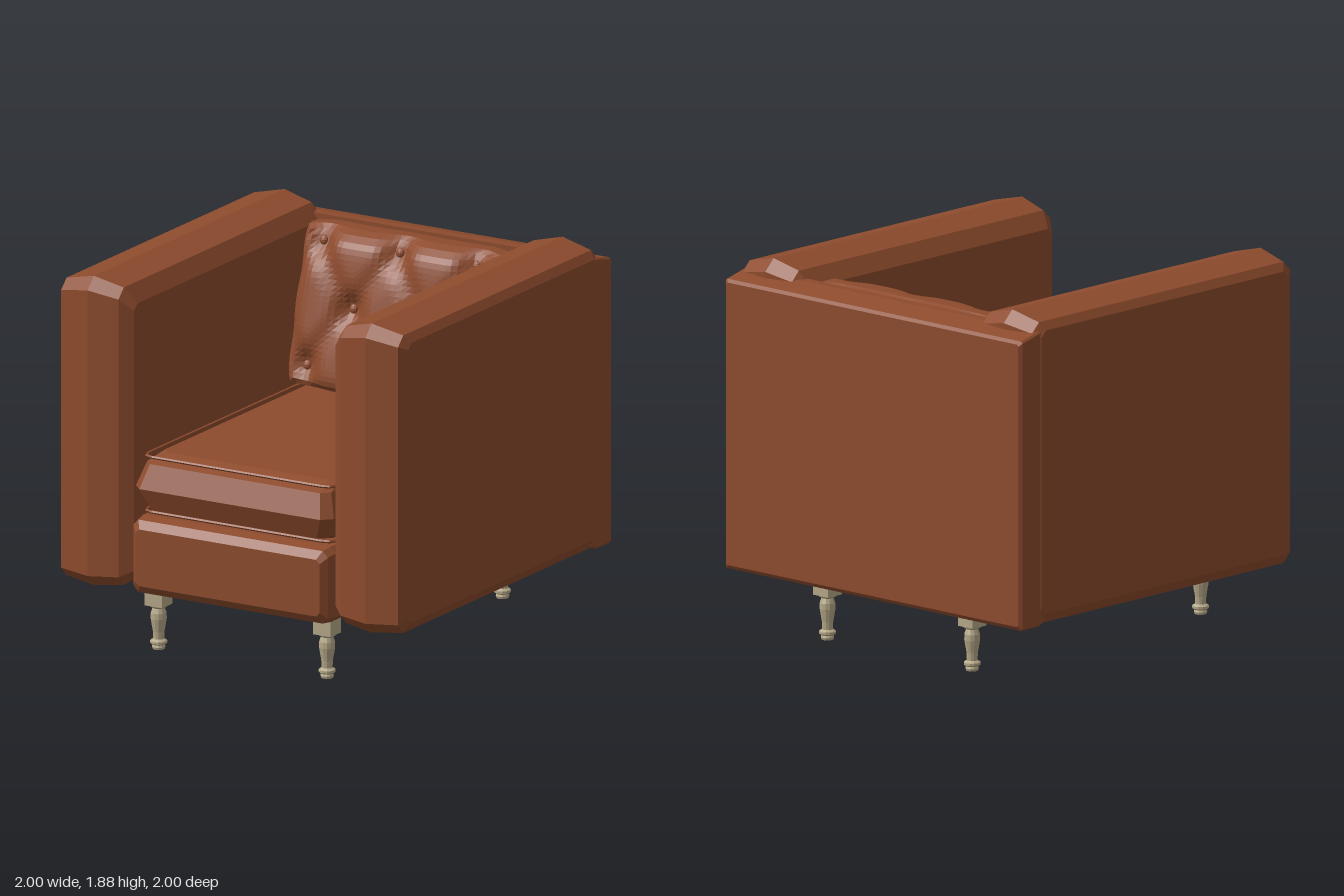
import * as THREE from 'three';
import { ConvexGeometry } from 'three/addons/geometries/ConvexGeometry.js';

const leather = new THREE.MeshStandardMaterial({ color: 0x8d4b2d, flatShading: true });
leather.name = 'leather';
const wood = new THREE.MeshStandardMaterial({ color: 0xb5a888, flatShading: true });
wood.name = 'paleWood';

function add(group, name, geometry, material = leather) {
  const mesh = new THREE.Mesh(geometry, material);
  mesh.name = name;
  group.add(mesh);
  return mesh;
}

// Padded block: rectangles with cut corners, stacked along one axis.
// Section: [position, u0, u1, v0, v1, corner]; place(position, u, v) gives the point.
function padded(sections, place) {
  const points = [];
  for (const [p, u0, u1, v0, v1, c] of sections) {
    for (const [u, du] of [[u0, c], [u1, -c]]) {
      for (const [v, dv] of [[v0, c], [v1, -c]]) {
        points.push(place(p, u + du, v), place(p, u, v + dv));
      }
    }
  }
  return new ConvexGeometry(points);
}
const alongX = (x, z, y) => new THREE.Vector3(x, y, z);
const alongY = (y, x, z) => new THREE.Vector3(x, y, z);
const alongZ = (z, x, y) => new THREE.Vector3(x, y, z);

// Button positions on the back cushion
const buttons = [];
for (const y of [1.13, 1.73]) for (const x of [-0.44, 0, 0.44]) buttons.push([x, y]);
buttons.push([-0.22, 1.43], [0.22, 1.43]);

// Depth of the tufted front of the back cushion
function tuftedFront(x, y) {
  let z = -0.405 - (y - 1.13) * 0.26;
  for (const [bx, by] of buttons) {
    const d = (x - bx) ** 2 + (y - by) ** 2;
    z -= 0.045 * Math.exp(-d / 0.006);
  }
  // shallow diagonal folds between the buttons
  const a = Math.cos(Math.PI * (x / 0.44 + (y - 1.13) / 0.6));
  const b = Math.cos(Math.PI * (x / 0.44 - (y - 1.13) / 0.6));
  return z - 0.018 * (a ** 8 + b ** 8);
}

function backCushionGeometry() {
  const geometry = new THREE.BoxGeometry(2, 2, 1, 36, 28, 4);
  const pos = geometry.attributes.position;
  for (let i = 0; i < pos.count; i++) {
    const u = pos.getX(i), v = pos.getY(i), t = pos.getZ(i) + 0.5;
    // rounded outline, narrower at front and back
    const shrink = 1 - 0.05 * (2 * t - 1) ** 4;
    const x = u * 0.57 * shrink * (1 - 0.03 * v ** 8);
    const y = 1.405 + v * 0.395 * shrink * (1 - 0.03 * u ** 8);
    // the front rolls back near the border
    const roll = 0.05 * Math.max(u ** 14, v ** 14);
    pos.setXYZ(i, x, y, THREE.MathUtils.lerp(-0.8, tuftedFront(x, y) - roll, t));
  }
  geometry.computeVertexNormals();
  return geometry;
}

// Thin seam cord around the seat cushion
function pipingGeometry(y) {
  const w = 0.545, front = 0.9, back = -0.6, r = 0.06;
  const path = new THREE.CurvePath();
  const corners = [[w, front], [-w, front], [-w, back], [w, back]]
    .map(([x, z]) => new THREE.Vector3(x, y, z));
  for (let i = 0; i < 4; i++) {
    const a = corners[i], b = corners[(i + 1) % 4], c = corners[(i + 2) % 4];
    const ab = b.clone().sub(a).normalize(), bc = c.clone().sub(b).normalize();
    const bendStart = b.clone().addScaledVector(ab, -r);
    const bendEnd = b.clone().addScaledVector(bc, r);
    path.add(new THREE.LineCurve3(a.clone().addScaledVector(ab, r), bendStart));
    path.add(new THREE.QuadraticBezierCurve3(bendStart, b, bendEnd));
  }
  return new THREE.TubeGeometry(path, 120, 0.008, 5, true);
}

function createLeg() {
  const leg = new THREE.Group();
  add(leg, 'legBlock', new THREE.BoxGeometry(0.1, 0.08, 0.1), wood).position.y = 0.265;
  const profile = [
    [0, 0], [0.03, 0], [0.034, 0.012], [0.03, 0.022], [0.042, 0.03], [0.042, 0.042],
    [0.027, 0.052], [0.029, 0.09], [0.04, 0.155], [0.039, 0.185], [0.03, 0.21],
    [0.043, 0.218], [0.047, 0.228], [0, 0.228],
  ].map(([r, y]) => new THREE.Vector2(r, y));
  add(leg, 'turnedLeg', new THREE.LatheGeometry(profile, 12), wood);
  return leg;
}

export function createModel() {
  const model = new THREE.Group();
  model.name = 'armchair';

  // Arms, crowned across their width
  for (const [name, s] of [['leftArm', 1], ['rightArm', -1]]) {
    add(model, name, padded([
      [s * 0.58, -0.85, 0.92, 0.37, 1.76, 0.03],
      [s * 0.64, -0.89, 0.97, 0.32, 1.84, 0.05],
      [s * 0.8, -0.91, 1.0, 0.3, 1.88, 0.06],
      [s * 0.97, -0.89, 0.97, 0.32, 1.84, 0.05],
      [s * 1.0, -0.85, 0.92, 0.37, 1.8, 0.03],
    ], alongX));
  }

  // Back panel across the full width
  add(model, 'backPanel', padded([
    [-0.81, -0.985, 0.985, 0.33, 1.8, 0.01],
    [-0.86, -0.995, 0.995, 0.31, 1.8, 0.01],
    [-0.985, -0.995, 0.995, 0.31, 1.77, 0.01],
    [-1.0, -0.98, 0.98, 0.33, 1.755, 0.01],
  ], alongZ));

  // Seat base
  add(model, 'seatBase', padded([
    [-0.83, -0.57, 0.57, 0.31, 0.68, 0.02],
    [0.9, -0.57, 0.57, 0.305, 0.69, 0.03],
    [0.96, -0.56, 0.56, 0.31, 0.68, 0.03],
    [0.99, -0.53, 0.53, 0.35, 0.64, 0.02],
  ], alongZ));

  // Seat cushion, widest at mid height
  add(model, 'seatCushion', padded([
    [0.69, -0.47, 0.47, -0.7, 0.8, 0.04],
    [0.725, -0.51, 0.51, -0.75, 0.92, 0.04],
    [0.84, -0.57, 0.57, -0.78, 0.97, 0.05],
    [0.96, -0.53, 0.53, -0.75, 0.92, 0.04],
    [0.995, -0.5, 0.5, -0.7, 0.8, 0.04],
  ], alongY));
  add(model, 'lowerPiping', pipingGeometry(0.71));
  add(model, 'upperPiping', pipingGeometry(0.99));

  // Tufted back cushion with buttons
  add(model, 'backCushion', backCushionGeometry());
  for (const [x, y] of buttons) {
    const button = add(model, 'button', new THREE.SphereGeometry(0.024, 10, 6));
    button.scale.z = 0.6;
    button.rotation.x = -0.25;
    button.position.set(x, y, tuftedFront(x, y) + 0.012);
  }

  // Four turned legs
  for (const [side, x] of [['Left', 0.485], ['Right', -0.485]]) {
    for (const [end, z] of [['front', 0.845], ['back', -0.8]]) {
      const leg = createLeg();
      leg.name = end + side + 'Leg';
      leg.position.set(x, 0, z);
      model.add(leg);
    }
  }
  return model;
}
